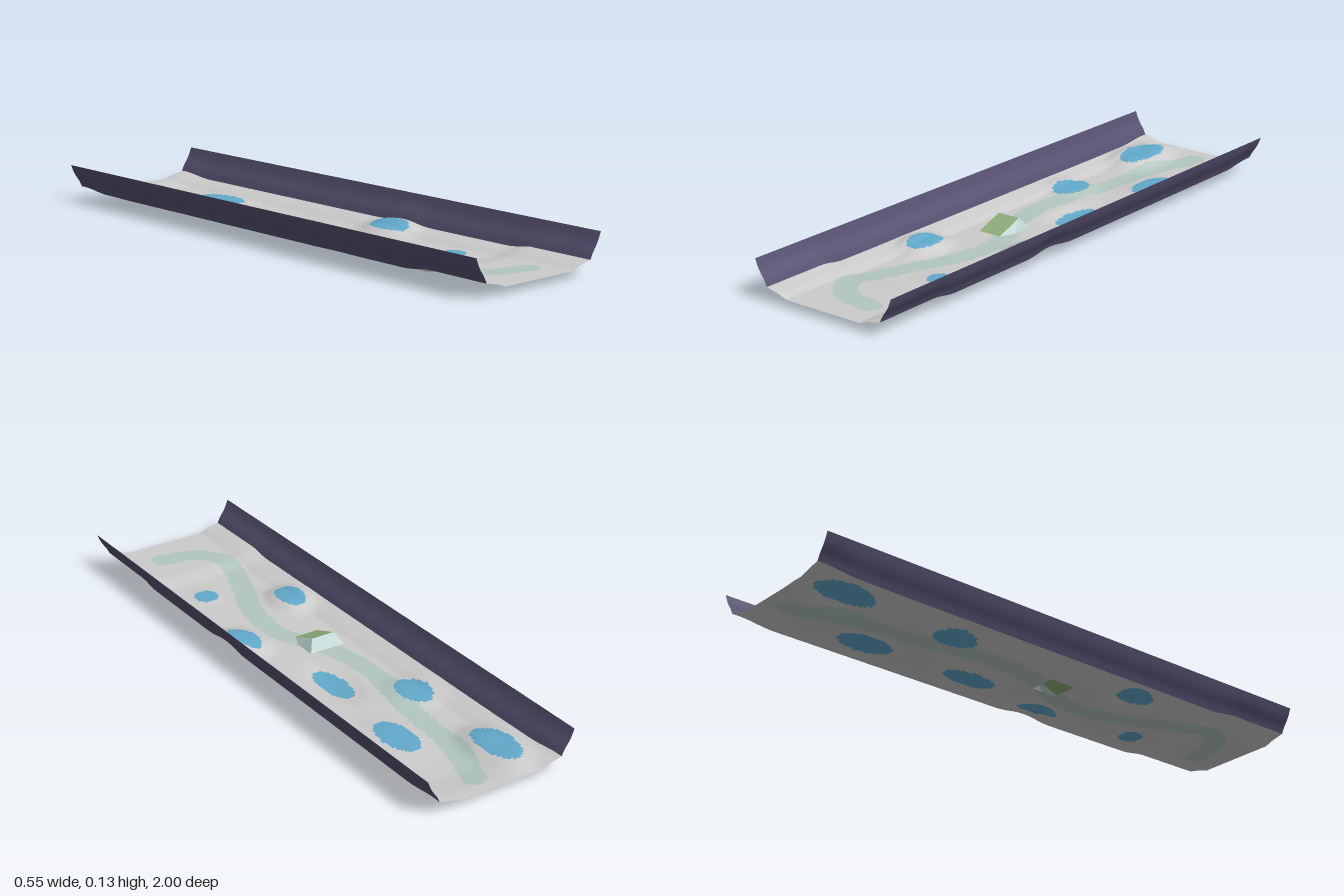
import * as THREE from 'three';

const clamp = THREE.MathUtils.clamp, smooth = THREE.MathUtils.smoothstep;

// Coloured patches: x, z, half width, half length, height of the bump or dip
const PATCHES = [
  [-0.12, -0.82, 0.055, 0.11, 0.032], [0.09, -0.59, 0.055, 0.105, 0.008],
  [-0.12, -0.39, 0.055, 0.08, 0.012], [0.055, -0.19, 0.045, 0.105, -0.013],
  [0.16, 0.19, 0.05, 0.08, 0.026], [-0.14, 0.37, 0.045, 0.075, 0.026],
  [0.085, 0.56, 0.042, 0.045, 0.004],
];
// Centre line of the pale trail, as x, z
const TRAIL = [[0.08, 0.88], [-0.04, 0.85], [-0.11, 0.75], [-0.06, 0.55], [0, 0.4], [0.02, 0.2],
  [-0.06, 0], [-0.09, -0.2], [-0.05, -0.45], [-0.02, -0.75], [0.04, -0.92]];
const trailCurve = new THREE.CatmullRomCurve3(TRAIL.map(([x, z]) => new THREE.Vector3(x, 0, z)));

const mat = (color) => new THREE.MeshStandardMaterial({ color, side: THREE.DoubleSide });

// Cross-section of the channel floor: flat middle, two slopes at each side
function sectionY(x) {
  const a = Math.abs(x);
  if (a < 0.15) return 0.013;
  if (a < 0.18) return 0.013 + (a - 0.15) / 0.03 * 0.011;
  return 0.024 + (a - 0.18) / 0.05 * 0.011;
}

// Floor height: section, raised ends, and a soft mound or hollow at each patch
function floorY(x, z) {
  let y = sectionY(x) + 0.012 * (smooth(z, 0.66, 0.76) + smooth(-z, 0.84, 0.98));
  for (const [px, pz, w, l, h] of PATCHES) {
    const d = ((x - px) / (w * 1.5)) ** 2 + ((z - pz) / (l * 1.3)) ** 2;
    y += h * Math.exp(-d * d);
  }
  return Math.max(y, 0);
}

// Grid of points from fn(u, v), with faces sorted into groups by classify
function loft(nu, nv, fn, classify = () => 0) {
  const pos = [], groups = [];
  for (let j = 0; j <= nv; j++)
    for (let i = 0; i <= nu; i++) pos.push(...fn(i / nu, j / nv));
  const all = [];
  for (let j = 0; j < nv; j++) {
    for (let i = 0; i < nu; i++) {
      const a = j * (nu + 1) + i, b = a + 1, c = a + nu + 1, d = c + 1;
      const [x, , z] = fn((i + 0.5) / nu, (j + 0.5) / nv);
      const k = classify(x, z);
      if (k < 0) continue;
      (groups[k] ??= []).push(a, c, b, b, c, d);
      all.push(a, c, b, b, c, d);
    }
  }
  const whole = new THREE.BufferGeometry();
  whole.setAttribute('position', new THREE.Float32BufferAttribute(pos, 3));
  whole.setIndex(all);
  whole.computeVertexNormals();
  return groups.map((index) => {
    const g = new THREE.BufferGeometry();
    g.setAttribute('position', whole.attributes.position);
    g.setAttribute('normal', whole.attributes.normal);
    g.setIndex(index);
    return g;
  });
}

// Flat polygon from a fan of corners
function panel(name, corners, material) {
  const pos = [];
  for (let i = 1; i < corners.length - 1; i++) pos.push(...corners[0], ...corners[i], ...corners[i + 1]);
  const g = new THREE.BufferGeometry();
  g.setAttribute('position', new THREE.Float32BufferAttribute(pos, 3));
  g.computeVertexNormals();
  const mesh = new THREE.Mesh(g, material);
  mesh.name = name;
  return mesh;
}

export function createModel() {
  const model = new THREE.Group();
  model.name = 'channel';

  // Floor, split into ground, trail and patches, with an opening under the ramp
  const trailPoints = trailCurve.getPoints(80);
  const kind = (x, z) => {
    if (x > -0.105 && x < -0.01 && z > 0.025 && z < 0.13) return -1;
    if (PATCHES.some(([px, pz, w, l]) => ((x - px) / w) ** 2 + ((z - pz) / l) ** 2 < 1)) return 2;
    return trailPoints.some((p) => Math.hypot(p.x - x, p.z - z) < 0.04) ? 1 : 0;
  };
  const floorPoint = (u, v) => {
    const x = -0.23 + 0.46 * u, z = -1 + 2 * v;
    return [x, floorY(x, z), z];
  };
  const floorParts = [['ground', 0xcccccc], ['trail', 0xb2c6bf], ['bluePatches', 0x62a9cb]];
  loft(62, 200, floorPoint, kind).forEach((g, i) => {
    const mesh = new THREE.Mesh(g, mat(floorParts[i][1]));
    mesh.name = floorParts[i][0];
    model.add(mesh);
  });

  // Curved side walls that follow the floor's edge at the bottom
  const wallMat = mat(0x565070);
  const rise = new THREE.CatmullRomCurve3([[0.23, 0], [0.241, 0.26], [0.253, 0.46], [0.264, 0.68], [0.275, 1]]
    .map(([x, t]) => new THREE.Vector3(x, t, 0)));
  for (const s of [-1, 1]) {
    const wallPoint = (u, v) => {
      const p = rise.getPoint(s < 0 ? 1 - u : u), z = -1 + 2 * v;
      const foot = floorY(s * 0.23, z);
      return [s * p.x, foot + (0.13 - foot) * clamp(p.y, 0, 1), z];
    };
    const wall = new THREE.Mesh(loft(10, 100, wallPoint)[0], wallMat);
    wall.name = s < 0 ? 'rightWall' : 'leftWall';
    model.add(wall);
  }

  // Small ramp: green slope to the front, pale back and flared sides
  const ramp = new THREE.Group();
  ramp.name = 'ramp';
  const pale = mat(0xb9d0cc), green = mat(0x8fb07c);
  const cx = -0.057, top = 0.05, low = 0.013;
  const at = (s, dx, y, z) => [cx + s * dx, y, z];
  ramp.add(panel('rampSlope', [at(-1, 0.043, low, 0.14), at(1, 0.043, low, 0.14),
    at(1, 0.043, top, 0.04), at(-1, 0.043, top, 0.04)], green));
  ramp.add(panel('rampBack', [at(1, 0.067, low, 0.01), at(-1, 0.067, low, 0.01),
    at(-1, 0.043, top, 0.04), at(1, 0.043, top, 0.04)], pale));
  for (const s of [-1, 1]) {
    const side = [at(s, 0.043, top, 0.04), at(s, 0.043, low, 0.14),
      at(s, 0.067, low, 0.09), at(s, 0.067, low, 0.01)];
    ramp.add(panel(s < 0 ? 'rampRightSide' : 'rampLeftSide', s < 0 ? side.reverse() : side, pale));
  }
  model.add(ramp);
  return model;
}
